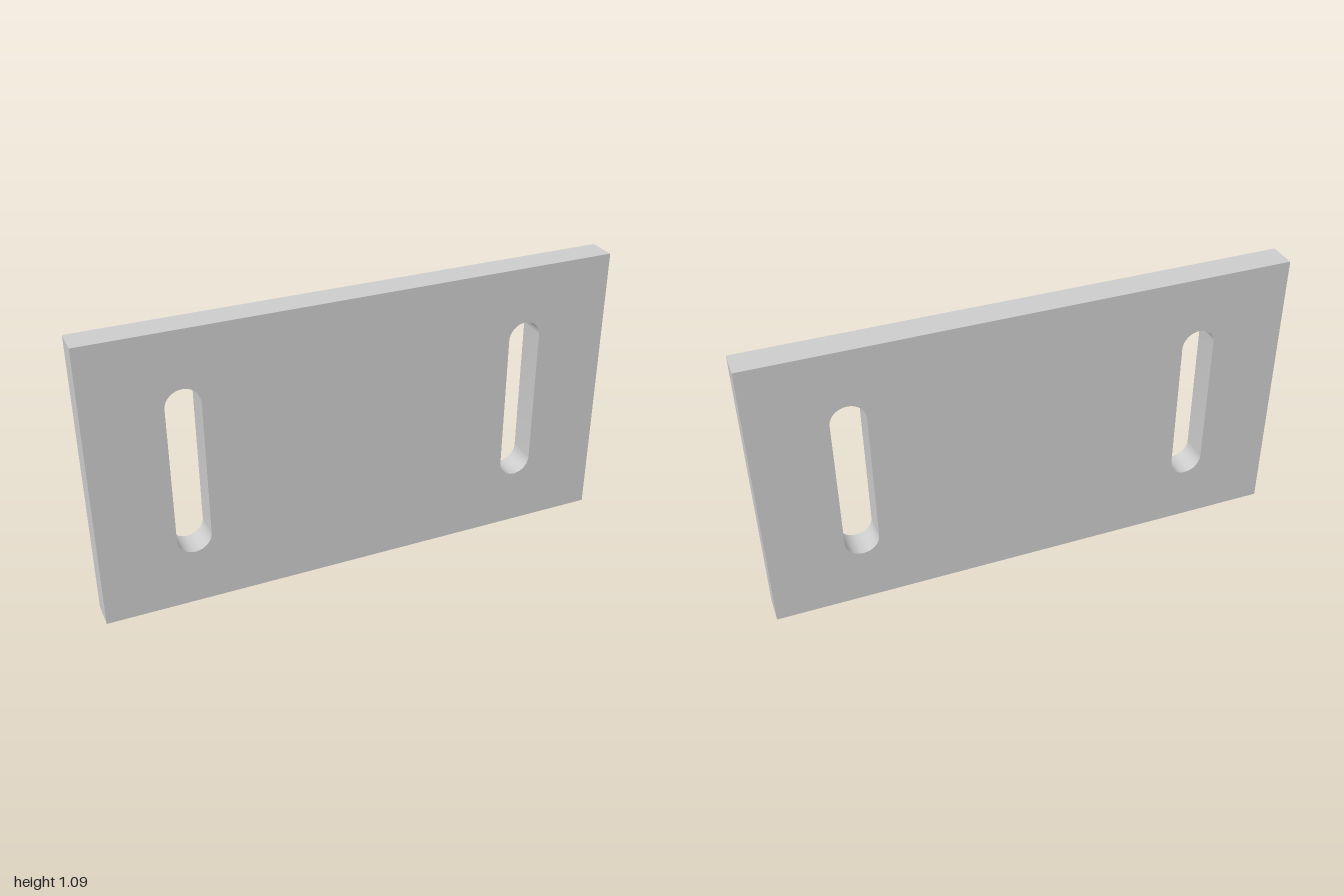
import * as THREE from 'three';
import { toCreasedNormals } from 'three/addons/utils/BufferGeometryUtils.js';

const WIDTH = 2, HEIGHT = 1.09, DEPTH = 0.108;
const SLOT_X = 0.655, SLOT_RADIUS = 0.064, SLOT_BOTTOM = 0.217, SLOT_TOP = 0.874;

// Upright slot with rounded ends, centred on x
function slotPath(x) {
  const path = new THREE.Path();
  path.absarc(x, SLOT_TOP - SLOT_RADIUS, SLOT_RADIUS, 0, Math.PI, false);
  path.absarc(x, SLOT_BOTTOM + SLOT_RADIUS, SLOT_RADIUS, Math.PI, 2 * Math.PI, false);
  path.closePath();
  return path;
}

export function createModel() {
  const group = new THREE.Group();
  group.name = 'slottedPlate';

  // Rectangular outline with a mirrored pair of slots
  const outline = new THREE.Shape([
    new THREE.Vector2(-WIDTH / 2, 0),
    new THREE.Vector2(WIDTH / 2, 0),
    new THREE.Vector2(WIDTH / 2, HEIGHT),
    new THREE.Vector2(-WIDTH / 2, HEIGHT),
  ]);
  for (const side of [-1, 1]) outline.holes.push(slotPath(side * SLOT_X));

  // Flat plate, smooth inside the slot ends and sharp at the edges
  const geometry = new THREE.ExtrudeGeometry(outline, {
    depth: DEPTH, bevelEnabled: false, curveSegments: 24,
  });
  geometry.translate(0, 0, -DEPTH / 2);
  const plate = new THREE.Mesh(
    toCreasedNormals(geometry, Math.PI / 6),
    new THREE.MeshStandardMaterial({ color: 0xcccccc }),
  );
  plate.name = 'plate';
  group.add(plate);
  return group;
}
